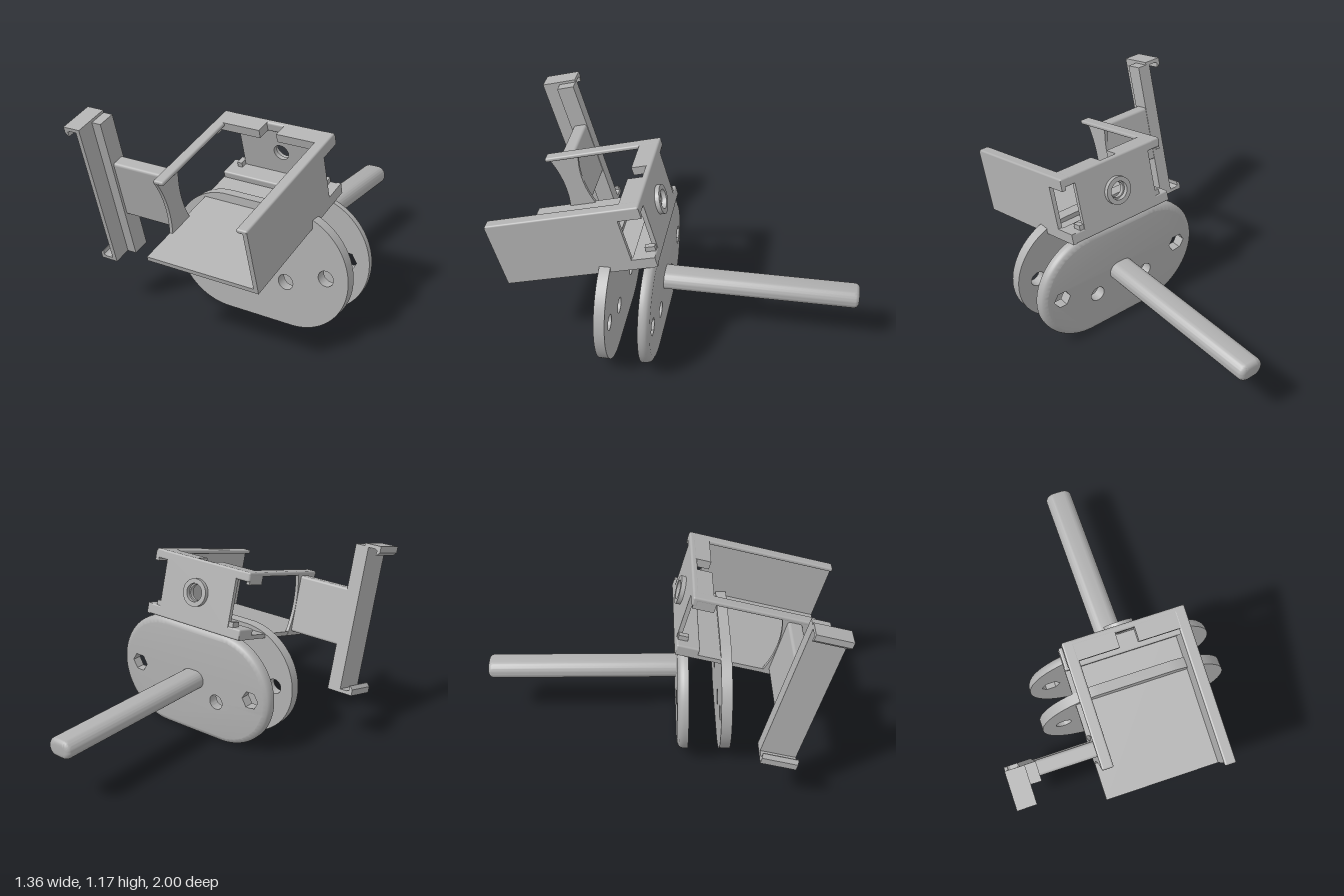
import * as THREE from 'three';
import { toCreasedNormals } from 'three/addons/utils/BufferGeometryUtils.js';
import { RoundedBoxGeometry } from 'three/addons/geometries/RoundedBoxGeometry.js';

export function createModel() {
  const model = new THREE.Group();
  const grey = new THREE.MeshStandardMaterial({ color: 0xb0b0b0 });
  grey.name = 'plain grey';

  const add = (parent, name, geometry) => {
    const mesh = new THREE.Mesh(geometry, grey);
    mesh.name = name;
    parent.add(mesh);
    return mesh;
  };
  const polygon = (pts) => new THREE.Shape(pts.map((p) => new THREE.Vector2(p[0], p[1])));
  const hole = (shape, x, y, r, sides = 32) => {
    const pts = [];
    for (let i = 0; i < sides; i++) {
      const a = (i / sides) * Math.PI * 2;
      pts.push(new THREE.Vector2(x + r * Math.cos(a), y + r * Math.sin(a)));
    }
    shape.holes.push(new THREE.Path(pts));
  };
  const extrude = (shape, depth, options = {}) =>
    new THREE.ExtrudeGeometry(shape, { depth, bevelEnabled: false, curveSegments: 32, ...options });

  // Pair of pill-shaped base plates
  const R = 0.34, XL = -0.065, XR = 0.34;
  const plateShape = (outerRadius, outerSides, innerRadius) => {
    const s = new THREE.Shape();
    s.moveTo(XL, 0);
    s.lineTo(XR, 0);
    s.absarc(XR, R, R, -Math.PI / 2, Math.PI / 2, false);
    s.lineTo(XL, 2 * R);
    s.absarc(XL, R, R, Math.PI / 2, Math.PI * 1.5, false);
    for (const x of [-0.28, 0.548]) hole(s, x, 0.34, outerRadius, outerSides);
    for (const x of [-0.037, 0.305]) hole(s, x, 0.253, innerRadius);
    return s;
  };
  const front = extrude(plateShape(0.045, 32, 0.045), 0.06);
  add(model, 'frontPlate', toCreasedNormals(front, 0.6)).position.z = 0.325;

  // The rear plate has hexagonal pockets and a rounded rear rim
  const rear = extrude(plateShape(0.055, 6, 0.045), 0.06, { steps: 6 });
  const p = rear.attributes.position;
  for (let i = 0; i < p.count; i++) {
    const cx = THREE.MathUtils.clamp(p.getX(i), XL, XR);
    const dx = p.getX(i) - cx, dy = p.getY(i) - R, d = Math.hypot(dx, dy);
    const t = Math.max(0, 1 - p.getZ(i) / 0.04);
    if (d < R - 0.01) continue;
    const k = (R - 0.035 * (1 - Math.sqrt(1 - t * t))) / R;
    p.setXY(i, cx + dx * k, R + dy * k);
  }
  add(model, 'rearPlate', toCreasedNormals(rear, 0.6)).position.z = 0.088;

  // Long rounded rod
  const w = 0.0775, h = 0.055, b = 0.03;
  const rod = new THREE.Shape();
  rod.absarc(w - h, 0, h - b, -Math.PI / 2, Math.PI / 2, false);
  rod.absarc(h - w, 0, h - b, Math.PI / 2, Math.PI * 1.5, false);
  const rodGeo = extrude(rod, 1.06, { bevelEnabled: true, bevelSize: b, bevelThickness: b, bevelSegments: 5, curveSegments: 12 });
  add(model, 'rod', toCreasedNormals(rodGeo, 0.7)).position.set(0.135, 0.355, -0.97);

  // Tilted tray: local y is height, depth u runs backwards from its front edge
  const tray = new THREE.Group();
  tray.name = 'tiltedTray';
  tray.position.set(0, 0.47, 0.9);
  tray.rotation.x = Math.PI / 12;
  model.add(tray);
  const place = (name, geo, x0, y0, u0, x1, y1, u1) =>
    add(tray, name, geo).position.set((x0 + x1) / 2, (y0 + y1) / 2, -(u0 + u1) / 2);
  const box = (name, x0, x1, y0, y1, u0, u1) =>
    place(name, new THREE.BoxGeometry(x1 - x0, y1 - y0, u1 - u0), x0, y0, u0, x1, y1, u1);
  const softBox = (name, x0, x1, y0, y1, u0, u1, r) =>
    place(name, new RoundedBoxGeometry(x1 - x0, y1 - y0, u1 - u0, 3, r), x0, y0, u0, x1, y1, u1);
  const sidePanel = (name, shape, x0, x1) => {
    const mesh = add(tray, name, toCreasedNormals(extrude(shape, x1 - x0).rotateY(Math.PI / 2), 0.5));
    mesh.position.x = x0;
  };

  // Floor with a raised rear step
  box('floor', -0.205, 0.45, 0, 0.025, 0, 0.855);
  softBox('rearStep', -0.205, 0.465, 0, 0.062, 0.73, 0.86, 0.01);
  box('stepTabLeft', 0.375, 0.405, 0.05, 0.09, 0.8, 0.855);
  box('stepTabRight', -0.15, -0.12, 0.05, 0.09, 0.8, 0.855);

  // Side wall with its rear window
  sidePanel('leftWall', polygon([[0, 0], [0.86, 0], [0.86, 0.062], [0.73, 0.062],
    [0.73, 0.315], [0.86, 0.315], [0.86, 0.375], [0, 0.375]]), 0.44, 0.465);

  // Top rim: side lips and the notched rear lip
  softBox('leftLip', 0.403, 0.465, 0.36, 0.385, 0, 0.86, 0.01);
  softBox('rightLip', -0.208, -0.145, 0.36, 0.385, 0.176, 0.86, 0.01);
  softBox('rearLipBar', -0.208, 0.465, 0.33, 0.385, 0.825, 0.86, 0.012);
  box('rearLipLeft', 0.18, 0.45, 0.336, 0.3845, 0.746, 0.84);
  box('rearLipRight', -0.2, 0.075, 0.336, 0.3845, 0.746, 0.84);
  box('rightCorner', -0.207, -0.185, 0.315, 0.375, 0.73, 0.85);

  // Rear wall with a round hole and a collar behind it
  const wall = polygon([[-0.12, 0.03], [0.378, 0.03], [0.378, 0.36], [-0.12, 0.36]]);
  hole(wall, 0.13, 0.197, 0.045);
  add(tray, 'rearWall', toCreasedNormals(extrude(wall, 0.025), 0.5)).position.z = -0.86;
  const collar = new THREE.Shape();
  collar.absarc(0.13, 0.197, 0.08, 0, Math.PI * 2, false);
  hole(collar, 0.13, 0.197, 0.053);
  add(tray, 'rearCollar', toCreasedNormals(extrude(collar, 0.027), 0.5)).position.z = -0.885;

  // Short wall panel with a hollowed edge where the arm joins
  const joint = new THREE.Shape();
  joint.moveTo(0.2, 0);
  joint.lineTo(0.37, 0);
  joint.quadraticCurveTo(0.3, 0.19, 0.37, 0.375);
  joint.lineTo(0.176, 0.375);
  joint.quadraticCurveTo(0.25, 0.19, 0.2, 0);
  sidePanel('armJoint', joint, -0.207, -0.187);

  // Arm and upright clamp bar
  softBox('arm', -0.54, -0.19, 0.025, 0.36, 0.25, 0.332, 0.015);
  box('clampBlock', -0.585, -0.522, -0.235, 0.615, 0.235, 0.335);
  box('clampPlate', -0.603, -0.578, -0.235, 0.63, 0.135, 0.335);

  // Mirrored hooks at both ends of the clamp bar
  for (const side of [1, -1]) {
    const profile = [[-0.6, 0.4325], [-0.68, 0.4325], [-0.68, 0.397], [-0.662, 0.378],
      [-0.657, 0.378], [-0.66, 0.405], [-0.645, 0.412], [-0.6, 0.412]];
    const hook = extrude(polygon(profile.map(([x, y]) => [x, y * side])), 0.2);
    add(tray, side > 0 ? 'upperHook' : 'lowerHook', hook).position.set(0, 0.1975, -0.335);
  }
  return model;
}
